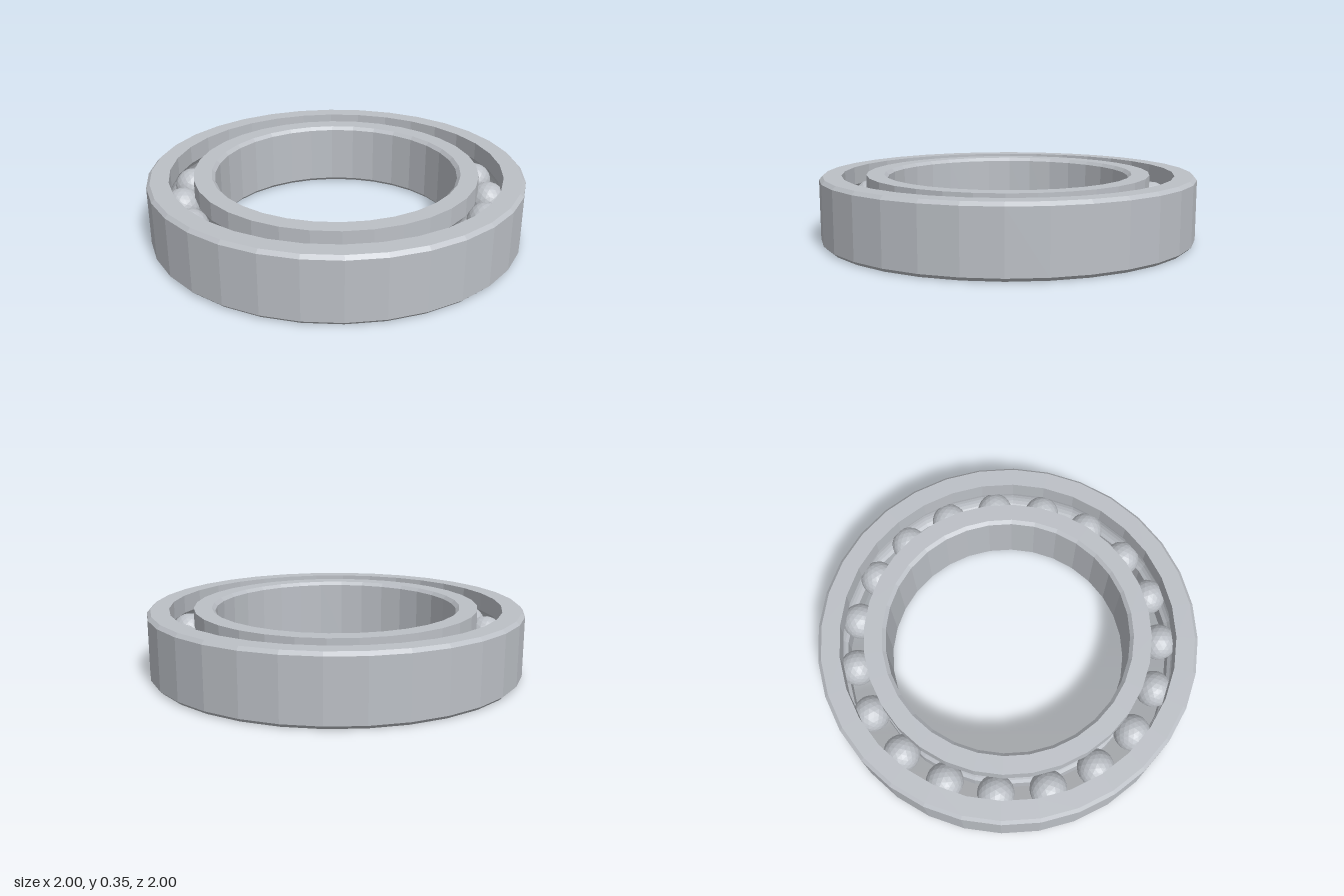
import * as THREE from 'three';

const SIDES = 32, BALLS = 19;
const HEIGHT = 0.35, CHAMFER = 0.018;
const ORBIT = 0.82, BALL_R = 0.097, GROOVE_R = 0.1;

// Faceted copy of a geometry
function faceted(geometry) {
  const g = geometry.index ? geometry.toNonIndexed() : geometry;
  g.computeVertexNormals();
  return g;
}

// Arc of the ball groove cut into a wall of radius r, listed from bottom to top
function groove(r) {
  const half = Math.acos(Math.abs(r - ORBIT) / GROOVE_R);
  const side = Math.sign(r - ORBIT);
  const points = [];
  for (let i = 0; i <= 8; i++) {
    const a = -half + (2 * half * i) / 8;
    points.push([ORBIT + side * GROOVE_R * Math.cos(a), HEIGHT / 2 + GROOVE_R * Math.sin(a)]);
  }
  return points;
}

// Closed ring; the profile runs up its outer wall and down its inner wall
function ring(name, profile, material) {
  const points = [...profile, profile[0]].map(([x, y]) => new THREE.Vector2(x, y));
  const mesh = new THREE.Mesh(faceted(new THREE.LatheGeometry(points, SIDES)), material);
  mesh.name = name;
  return mesh;
}

export function createModel() {
  const model = new THREE.Group();
  model.name = 'ballBearing';
  const steel = new THREE.MeshStandardMaterial({ color: 0xbcc0c6 });
  steel.name = 'steel';

  // Outer race: chamfered outside, grooved inside
  const outerWall = 0.885;
  model.add(ring('outerRace', [
    [1 - CHAMFER, 0], [1, CHAMFER], [1, HEIGHT - CHAMFER], [1 - CHAMFER, HEIGHT],
    [outerWall, HEIGHT], ...groove(outerWall).reverse(), [outerWall, 0],
  ], steel));

  // Inner race: grooved outside, chamfered bore
  const innerWall = 0.757, bore = 0.645;
  model.add(ring('innerRace', [
    [innerWall, 0], ...groove(innerWall), [innerWall, HEIGHT],
    [bore + CHAMFER, HEIGHT], [bore, HEIGHT - CHAMFER], [bore, CHAMFER], [bore + CHAMFER, 0],
  ], steel));

  // Balls spaced evenly between the races
  const balls = new THREE.Group();
  balls.name = 'balls';
  const ballGeometry = faceted(new THREE.IcosahedronGeometry(BALL_R, 3));
  for (let i = 0; i < BALLS; i++) {
    const a = (i / BALLS) * Math.PI * 2;
    const ball = new THREE.Mesh(ballGeometry, steel);
    ball.name = 'ball';
    ball.position.set(ORBIT * Math.cos(a), HEIGHT / 2, ORBIT * Math.sin(a));
    ball.rotation.y = -a;
    balls.add(ball);
  }
  model.add(balls);
  return model;
}
